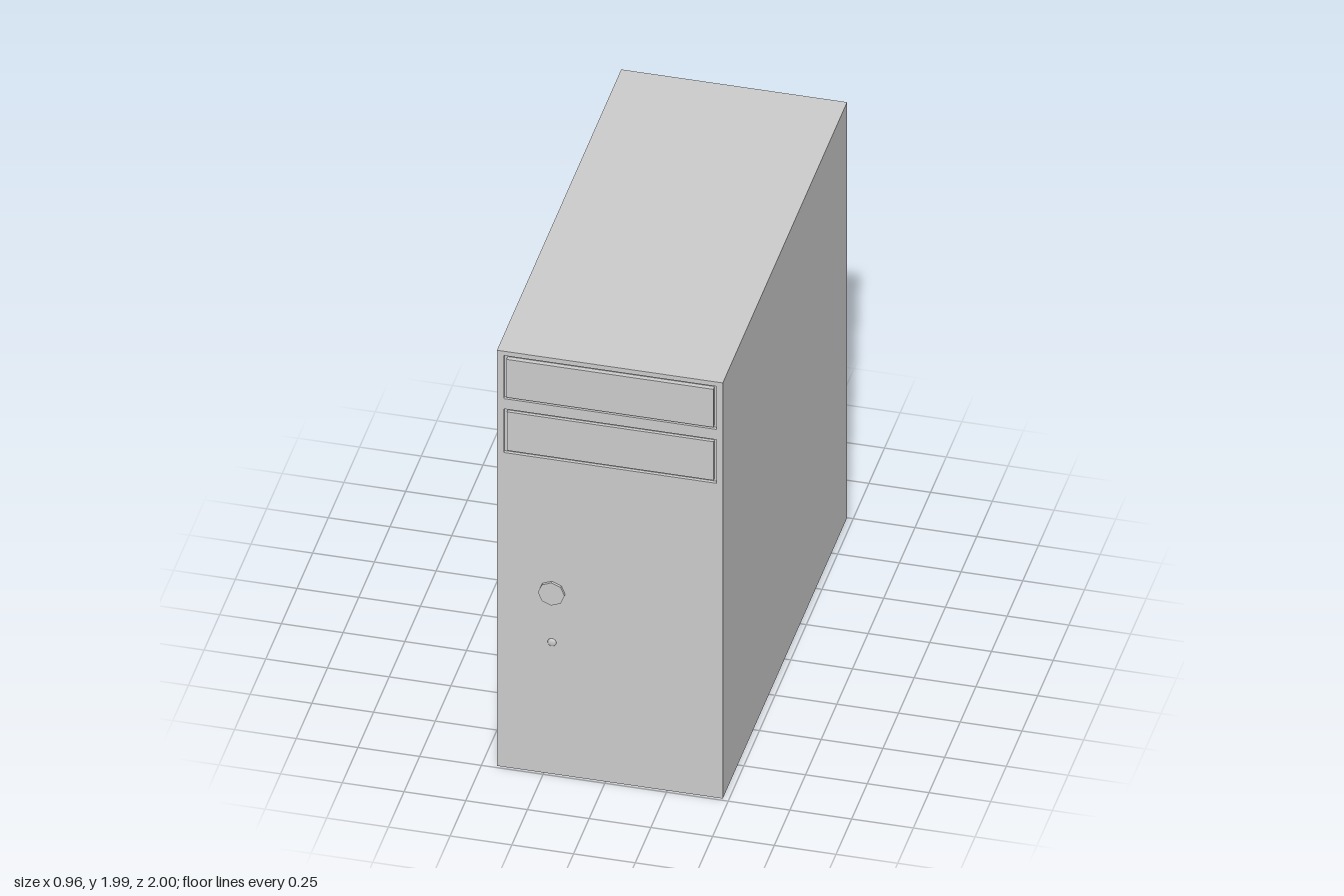
import * as THREE from 'three';

// Main dimensions of the tower
const X0 = -0.44, X1 = 0.475, TOP = 1.99, BACK = -1, FRONT = 0.988;
const FRONT_T = 0.014, BACK_T = 0.02;

// Rectangle [x0, x1, y0, y1] as points
const rect = ([x0, x1, y0, y1]) => [
  new THREE.Vector2(x0, y0), new THREE.Vector2(x1, y0),
  new THREE.Vector2(x1, y1), new THREE.Vector2(x0, y1),
];

// Flat plate with rectangular openings, starting at z
function plate(outline, openings, z, depth) {
  const shape = new THREE.Shape(rect(outline));
  for (const o of openings) shape.holes.push(new THREE.Path(rect(o).reverse()));
  const geo = new THREE.ExtrudeGeometry(shape, { depth, bevelEnabled: false });
  return geo.translate(0, 0, z);
}

function box(x0, x1, y0, y1, z0, z1) {
  return new THREE.BoxGeometry(x1 - x0, y1 - y0, z1 - z0)
    .translate((x0 + x1) / 2, (y0 + y1) / 2, (z0 + z1) / 2);
}

export function createModel() {
  const model = new THREE.Group();
  model.name = 'computerTower';
  const grey = new THREE.MeshStandardMaterial({ color: 0xcccccc });
  grey.name = 'caseGrey';

  const add = (name, geo) => {
    const mesh = new THREE.Mesh(geo, grey);
    mesh.name = name;
    model.add(mesh);
    return mesh;
  };

  // Case core between the front and back plates
  add('caseBody', box(X0, X1, 0, TOP, BACK + BACK_T, FRONT - FRONT_T));

  // Front plate with two drive bays, each cover set inside a narrow groove
  const bays = [[-0.412, 0.45, 1.763, 1.969], [-0.412, 0.45, 1.505, 1.714]];
  add('frontPlate', plate([X0, X1, 0, TOP], bays, FRONT - FRONT_T, FRONT_T));
  const groove = 0.012;
  bays.forEach(([x0, x1, y0, y1], i) => {
    add('driveBayCover' + (i + 1), box(x0 + groove, x1 - groove, y0 + groove, y1 - groove,
      FRONT - FRONT_T, i === 0 ? FRONT + 0.006 : FRONT));
  });

  // Back plate with four shallow recesses
  add('backPlate', plate([X0, X1, 0, TOP], [
    [-0.40, 0.44, 1.51, 1.95],
    [0.066, 0.42, 0.642, 1.425],
    [-0.39, -0.04, 0.642, 1.425],
    [-0.40, 0.437, 0.04, 0.54],
  ], BACK, BACK_T));

  // Raised side panel with bevelled edges
  const panel = new THREE.BoxGeometry(0.04, 1.225, 1.23);
  const pos = panel.attributes.position;
  for (let i = 0; i < pos.count; i++) {
    if (pos.getX(i) < 0) {
      pos.setY(i, pos.getY(i) * 0.804);
      pos.setZ(i, pos.getZ(i) * 0.805);
    }
  }
  panel.computeVertexNormals();
  panel.translate(X0 - 0.02, 0.9975, -0.005);
  add('raisedSidePanel', panel);

  // Eight-sided power button
  const button = new THREE.CylinderGeometry(0.054, 0.054, 0.02, 8).toNonIndexed();
  button.computeVertexNormals();
  button.rotateX(Math.PI / 2);
  add('powerButton', button).position.set(-0.217, 0.868, 0.99);

  // Small domed indicator light
  const light = add('indicatorLight', new THREE.SphereGeometry(0.018, 12, 8));
  light.scale.z = 0.4;
  light.position.set(-0.217, 0.63, FRONT);

  return model;
}
